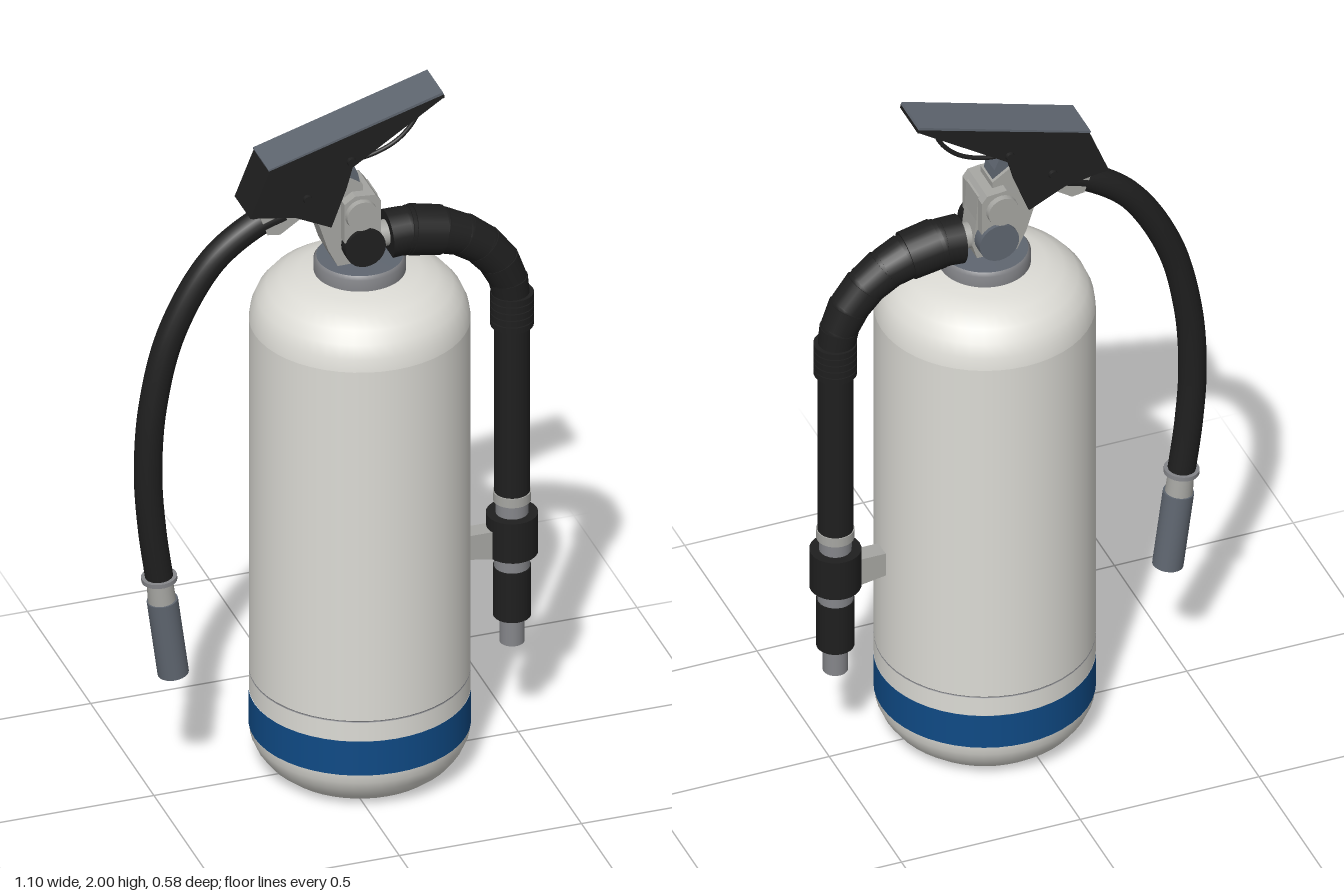
import * as THREE from 'three';

const mat = (name, color, side = THREE.FrontSide) => {
  const m = new THREE.MeshStandardMaterial({ color, side });
  m.name = name;
  return m;
};

export function createModel() {
  const white = mat('white paint', 0xdcdbd5);
  const blue = mat('blue band', 0x0f4a85);
  const black = mat('black rubber', 0x1f1f1f, THREE.DoubleSide);
  const slate = mat('slate metal', 0x5f6670);
  const steel = mat('light steel', 0xa6a6a2);
  const grey = mat('grey metal', 0x85868a);
  const base = mat('base grey', 0x8a8a85);

  const root = new THREE.Group();
  const CX = 0.065;
  const V = (x, y, z = 0) => new THREE.Vector3(x, y, z);
  const add = (name, geo, m, x = 0, y = 0, z = 0, parent = root) => {
    const mesh = new THREE.Mesh(geo, m);
    mesh.name = name;
    mesh.position.set(x, y, z);
    parent.add(mesh);
    return mesh;
  };
  const lathe = (name, pts, m, x = CX) =>
    add(name, new THREE.LatheGeometry(pts.map(p => new THREE.Vector2(...p)), 48), m, x);
  // Tapered cylinder between two points
  const rod = (name, a, b, ra, rb, m, seg = 24) => {
    const d = b.clone().sub(a);
    const mesh = add(name, new THREE.CylinderGeometry(rb, ra, d.length(), seg), m);
    mesh.position.copy(a).addScaledVector(d, 0.5);
    mesh.quaternion.setFromUnitVectors(V(0, 1), d.normalize());
    return mesh;
  };
  const tube = (name, pts, r, m, seg = 40) =>
    add(name, new THREE.TubeGeometry(new THREE.CatmullRomCurve3(pts), seg, r, 16), m);
  // Flat outline in x/y, extruded symmetrically about a z position
  const plate = (name, pts, depth, m, z = 0) => {
    const shape = new THREE.Shape(pts.map(p => new THREE.Vector2(...p)));
    const geo = new THREE.ExtrudeGeometry(shape, { depth, bevelEnabled: false });
    geo.translate(0, 0, -depth / 2);
    return add(name, geo, m, 0, 0, z);
  };

  // Tank
  lathe('tankBase', [[0, 0], [0.2, 0]], base);
  lathe('tankBottom', [[0.2, 0], [0.222, 0.012], [0.25, 0.035], [0.272, 0.065], [0.285, 0.095], [0.288, 0.12]], white);
  lathe('blueBand', [[0.289, 0.12], [0.289, 0.222]], blue);
  lathe('lowerBand', [[0.288, 0.222], [0.288, 0.278]], white);
  lathe('seam', [[0.288, 0.278], [0.286, 0.28], [0.288, 0.283]], grey);
  lathe('tankBody', [[0.288, 0.283], [0.288, 0.8], [0.288, 1.33]], white);
  lathe('tankDome', [[0.288, 1.33], [0.283, 1.365], [0.268, 1.4], [0.243, 1.43], [0.205, 1.455], [0.16, 1.47], [0.1, 1.478]], white);

  // Neck collar
  lathe('neckCollar', [[0.118, 1.465], [0.12, 1.475], [0.12, 1.508], [0.113, 1.518]], grey);
  lathe('collarTop', [[0.113, 1.518], [0, 1.52]], slate);

  // Valve body
  plate('valveBlock', [[-0.005, 1.51], [-0.035, 1.57], [-0.06, 1.65], [-0.02, 1.72], [0, 1.79], [0.06, 1.75], [0.06, 1.73],
    [0.1, 1.715], [0.105, 1.64], [0.115, 1.56], [0.1, 1.51]], 0.08, steel);
  plate('valveCheeks', [[0, 1.6], [0, 1.715], [0.03, 1.735], [0.085, 1.73], [0.1, 1.71], [0.1, 1.6]], 0.135, steel);
  plate('valveHead', [[0, 1.74], [-0.01, 1.84], [0.02, 1.85], [0.05, 1.78], [0.06, 1.73]], 0.06, slate);
  for (const s of [-1, 1]) {
    rod('pivotKnob', V(0.045, 1.68, s * 0.06), V(0.045, 1.68, s * 0.083), 0.044, 0.042, steel);
    rod('gauge', V(0.055, 1.58, s * 0.035), V(0.055, 1.58, s * 0.078), 0.055, 0.055, s > 0 ? black : slate);
  }

  // Lever: channel with two cheeks, end wall and grey top
  const cheek = [[-0.257, 1.72], [-0.204, 1.852], [0.275, 1.992], [0.27, 1.98], [0.024, 1.82],
    [0.008, 1.762], [-0.034, 1.651], [-0.135, 1.7]];
  for (const s of [-1, 1]) plate('leverCheek', cheek, 0.01, black, s * 0.057);
  plate('leverEnd', [[-0.257, 1.72], [-0.204, 1.852], [-0.192, 1.848], [-0.245, 1.716]], 0.124, black);
  plate('leverPlate', [[-0.204, 1.852], [0.275, 1.992], [0.277, 1.982], [-0.2, 1.84]], 0.124, black);
  plate('leverTop', [[-0.206, 1.852], [-0.207, 1.857], [0.272, 1.999], [0.275, 1.992]], 0.124, slate);
  for (const s of [-1, 1]) {
    tube('leverWire', [V(0, 1.83, s * 0.035), V(0.07, 1.83, s * 0.035), V(0.15, 1.86, s * 0.035),
      V(0.2, 1.91, s * 0.035), V(0.225, 1.97, s * 0.035)], 0.006, black, 24);
    for (const x of [-0.1, 0.02])
      rod('leverRivet', V(x, x < 0 ? 1.75 : 1.84, s * 0.06), V(x, x < 0 ? 1.75 : 1.84, s * 0.071), 0.013, 0.011, black, 12);
  }
  plate('hoseClip', [[-0.22, 1.7], [-0.2, 1.645], [-0.165, 1.64], [-0.09, 1.69], [-0.03, 1.66], [-0.03, 1.74], [-0.2, 1.73]], 0.07, steel);

  // Discharge hose and nozzle
  tube('dischargeHose', [V(-0.15, 1.69), V(-0.22, 1.665), V(-0.34, 1.575), V(-0.45, 1.385), V(-0.503, 1.17),
    V(-0.516, 0.97), V(-0.505, 0.8), V(-0.485, 0.65)], 0.037, black, 64);
  rod('ferruleRim', V(-0.486, 0.658), V(-0.485, 0.646), 0.047, 0.047, grey);
  rod('ferrule', V(-0.485, 0.65), V(-0.477, 0.575), 0.034, 0.037, steel);
  rod('nozzle', V(-0.477, 0.585), V(-0.447, 0.36), 0.041, 0.041, slate);

  // Side hose: outlet, segmented bend and straight run
  rod('outletFitting', V(0.09, 1.57), V(0.15, 1.57), 0.035, 0.035, steel);
  const bend = [[0.138, 1.565, 0.05], [0.19, 1.567, 0.066], [0.285, 1.55, 0.062], [0.345, 1.525, 0.058],
    [0.4, 1.485, 0.056], [0.445, 1.43, 0.055], [0.472, 1.37, 0.052], [0.482, 1.31, 0.05]];
  bend.slice(1).forEach(([x, y, r], i) => {
    const [px, py, pr] = bend[i];
    rod('bendSegment', V(px, py), V(x, y), Math.max(pr, r), r - 0.002, black);
    add('bendJoint', new THREE.SphereGeometry(r - 0.003, 20, 12), black, x, y);
  });
  rod('bendCollar', V(0.2, 1.567), V(0.285, 1.55), 0.068, 0.066, black);
  for (let i = 0; i < 5; i++)
    rod('couplingRib', V(0.483, 1.23 + i * 0.02), V(0.483, 1.247 + i * 0.02), 0.057, 0.057, black);
  const stack = [['sideHose', 0.73, 1.32, 0.047, black], ['hoseRing', 0.703, 0.73, 0.05, steel],
    ['hoseNeck', 0.66, 0.703, 0.043, grey], ['clampSleeve', 0.547, 0.665, 0.068, black],
    ['lowerRing', 0.503, 0.547, 0.047, grey], ['tipSleeve', 0.358, 0.505, 0.05, black],
    ['tip', 0.278, 0.36, 0.033, grey]];
  for (const [name, y0, y1, r, m] of stack) rod(name, V(0.483, y0), V(0.483, y1), r, r, m);

  // Bracket holding the side hose to the tank
  plate('hoseBracket', [[0.34, 0.56], [0.34, 0.628], [0.43, 0.628], [0.43, 0.545]], 0.05, steel);

  return root;
}
